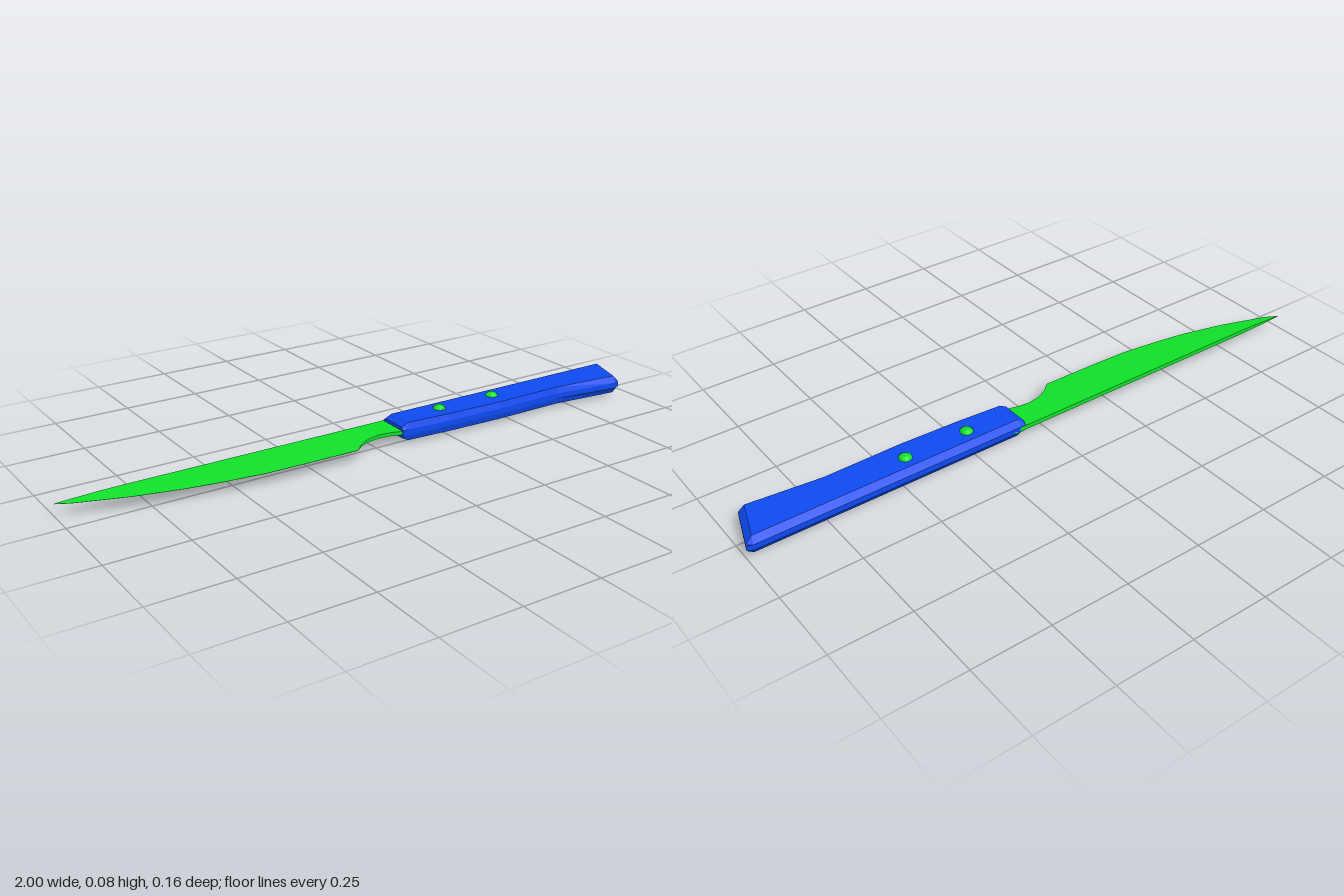
import * as THREE from 'three';

const MID = 0.041; // height of the knife's middle plane
const green = new THREE.MeshStandardMaterial({ color: 0x10e02a, flatShading: true });
const blue = new THREE.MeshStandardMaterial({ color: 0x0d4af0, flatShading: true });

// Skin a row of convex cross-sections running along +x, with both ends capped
function loft(rings) {
  const pos = [];
  const tri = (...pts) => pts.forEach((p) => pos.push(...p));
  const n = rings[0].length;
  for (let i = 0; i < rings.length - 1; i++) {
    const A = rings[i], B = rings[i + 1];
    for (let j = 0; j < n; j++) {
      const k = (j + 1) % n;
      tri(A[j], A[k], B[k]);
      tri(A[j], B[k], B[j]);
    }
  }
  const first = rings[0], last = rings[rings.length - 1];
  for (let j = 1; j < n - 1; j++) {
    tri(first[0], first[j + 1], first[j]);
    tri(last[0], last[j], last[j + 1]);
  }
  const geo = new THREE.BufferGeometry();
  geo.setAttribute('position', new THREE.Float32BufferAttribute(pos, 3));
  geo.computeVertexNormals();
  return geo;
}

function addMesh(group, name, geo, mat) {
  const mesh = new THREE.Mesh(geo, mat);
  mesh.name = name;
  group.add(mesh);
  return mesh;
}

// Wedge-shaped section: x, edge z, half thickness at spine and at edge
function bladeRing([x, z, t, e]) {
  const s = -0.08;
  return [[x, MID + t, s], [x, MID + e, z], [x, MID - e, z], [x, MID - t, s]];
}

// Chamfered section, slanted from x0 at the back to x1 at the belly
function handleRing([x0, x1, z0, z1, h, w, inset0, inset1]) {
  const p = (y, z) => [x0 + ((x1 - x0) * (z - z0)) / (z1 - z0), MID + y, z];
  const a = z0 + inset0, b = z1 - inset1;
  return [p(h, a), p(h, b), p(w, z1), p(-w, z1), p(-h, b), p(-h, a), p(-w, z0), p(w, z0)];
}

export function createModel() {
  const knife = new THREE.Group();
  knife.name = 'knife';

  // Blade: curved cutting edge, then the finger notch before the handle
  const blade = [
    [-1, -0.079, 0.001, 0.0004],
    [-0.96, -0.058, 0.003, 0.0004],
    [-0.87, -0.027, 0.006, 0.0004],
    [-0.8, -0.004, 0.007, 0.0004],
    [-0.66, 0.03, 0.007, 0.0004],
    [-0.55, 0.048, 0.007, 0.0004],
    [-0.42, 0.063, 0.007, 0.0004],
    [-0.3, 0.066, 0.007, 0.0004],
    [-0.11, 0.067, 0.007, 0.0006],
    [-0.08, 0.04, 0.007, 0.003],
    [-0.045, 0.021, 0.007, 0.005],
    [0, 0.012, 0.007, 0.006],
    [0.04, 0.016, 0.007, 0.006],
    [0.08, 0.028, 0.007, 0.006],
    [0.12, 0.028, 0.007, 0.006],
  ];
  addMesh(knife, 'blade', loft(blade.map(bladeRing)), green);

  // Handle: chamfered grip that flares into a slanted butt
  const H = 0.0295, W = 0.009;
  const handle = [
    [0.08, 0.08, -0.079, 0.03, 0.018, W, 0.015, 0.007],
    [0.102, 0.102, -0.08, 0.032, H, W, 0.015, 0.007],
    [0.25, 0.25, -0.08, 0.042, H, W, 0.015, 0.007],
    [0.45, 0.45, -0.08, 0.049, H, W, 0.015, 0.007],
    [0.7, 0.7, -0.08, 0.046, H, W, 0.015, 0.007],
    [0.982, 0.93, -0.08, 0.078, H, W, 0.015, 0.015],
    [1, 0.953, -0.072, 0.07, W, W * 0.9, 0.004, 0.004],
  ];
  addMesh(knife, 'handle', loft(handle.map(handleRing)), blue);

  // Rivets: pins through the handle with domed heads on both faces
  const profile = [[0, -0.041], [0.011, -0.04], [0.019, -0.034], [0.022, -0.028],
    [0.022, 0.028], [0.019, 0.034], [0.011, 0.04], [0, 0.041]]
    .map(([r, y]) => new THREE.Vector2(r, y));
  const rivetGeo = new THREE.LatheGeometry(profile, 12);
  for (const x of [0.257, 0.47]) {
    addMesh(knife, 'rivet', rivetGeo, green).position.set(x, MID, -0.022);
  }
  return knife;
}
